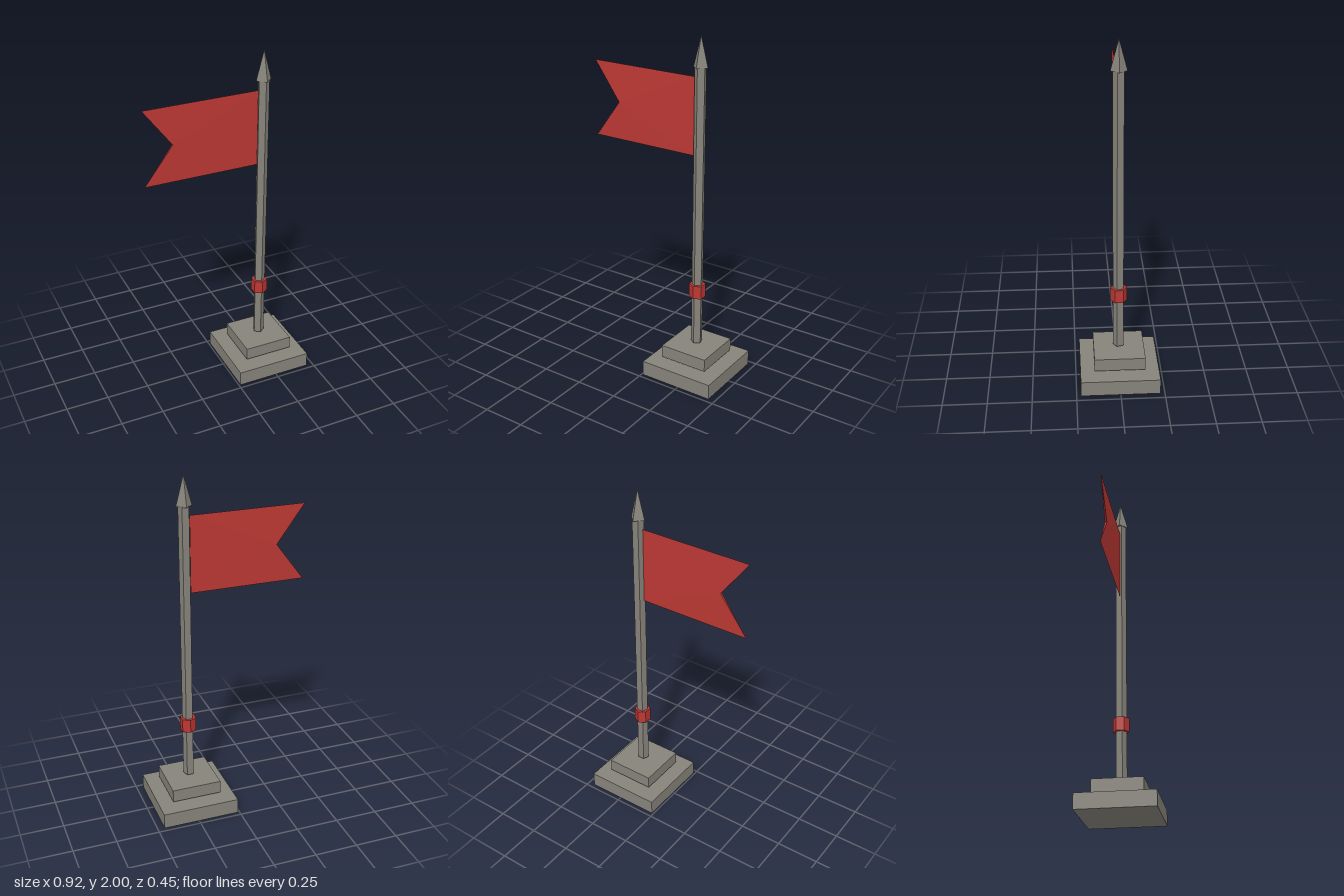
import * as THREE from 'three';

const POLE_X = 0.235;

export function createModel() {
  const group = new THREE.Group();
  const stone = new THREE.MeshStandardMaterial({ color: 0x86837a, flatShading: true });
  const red = new THREE.MeshStandardMaterial({ color: 0xbc3834, flatShading: true });
  const redCloth = red.clone();
  redCloth.side = THREE.DoubleSide;

  function add(name, geometry, material) {
    const mesh = new THREE.Mesh(geometry, material);
    mesh.name = name;
    group.add(mesh);
  }

  // Part centred on the pole axis, spanning bottom..top
  function onAxis(name, bottom, top, makeGeometry, material) {
    const geometry = makeGeometry(top - bottom);
    geometry.translate(POLE_X, (bottom + top) / 2, 0);
    add(name, geometry, material);
  }

  // Two floating steps of the base
  onAxis('lowerBase', 0, 0.09, h => new THREE.BoxGeometry(0.45, h, 0.45), stone);
  onAxis('upperBase', 0.11, 0.185, h => new THREE.BoxGeometry(0.29, h, 0.29), stone);

  // Five-sided pole, six-sided collar, four-sided spear tip
  onAxis('pole', 0.195, 1.835, h => new THREE.CylinderGeometry(0.033, 0.033, h, 5), stone);
  onAxis('collar', 0.49, 0.57, h => new THREE.CylinderGeometry(0.047, 0.047, h, 6), red);
  onAxis('spearTip', 1.83, 2, h => new THREE.ConeGeometry(0.045, h, 4), stone);

  // Swallowtail flag: sharp rim, slightly thickened at the notch
  const rim = [[-0.46, 1.335, 0], [0.205, 1.335, 0], [0.205, 1.775, 0], [-0.46, 1.775, 0]];
  const notchFront = [-0.295, 1.555, 0.007];
  const notchBack = [-0.295, 1.555, -0.005];
  const corners = [];
  for (let i = 0; i < 3; i++) {
    corners.push(notchFront, rim[i], rim[i + 1]);
    corners.push(notchBack, rim[i + 1], rim[i]);
  }
  // Narrow edges closing the notch
  corners.push(notchFront, notchBack, rim[0], notchBack, notchFront, rim[3]);
  const flag = new THREE.BufferGeometry();
  flag.setAttribute('position', new THREE.Float32BufferAttribute(corners.flat(), 3));
  flag.computeVertexNormals();
  add('flag', flag, redCloth);

  return group;
}
